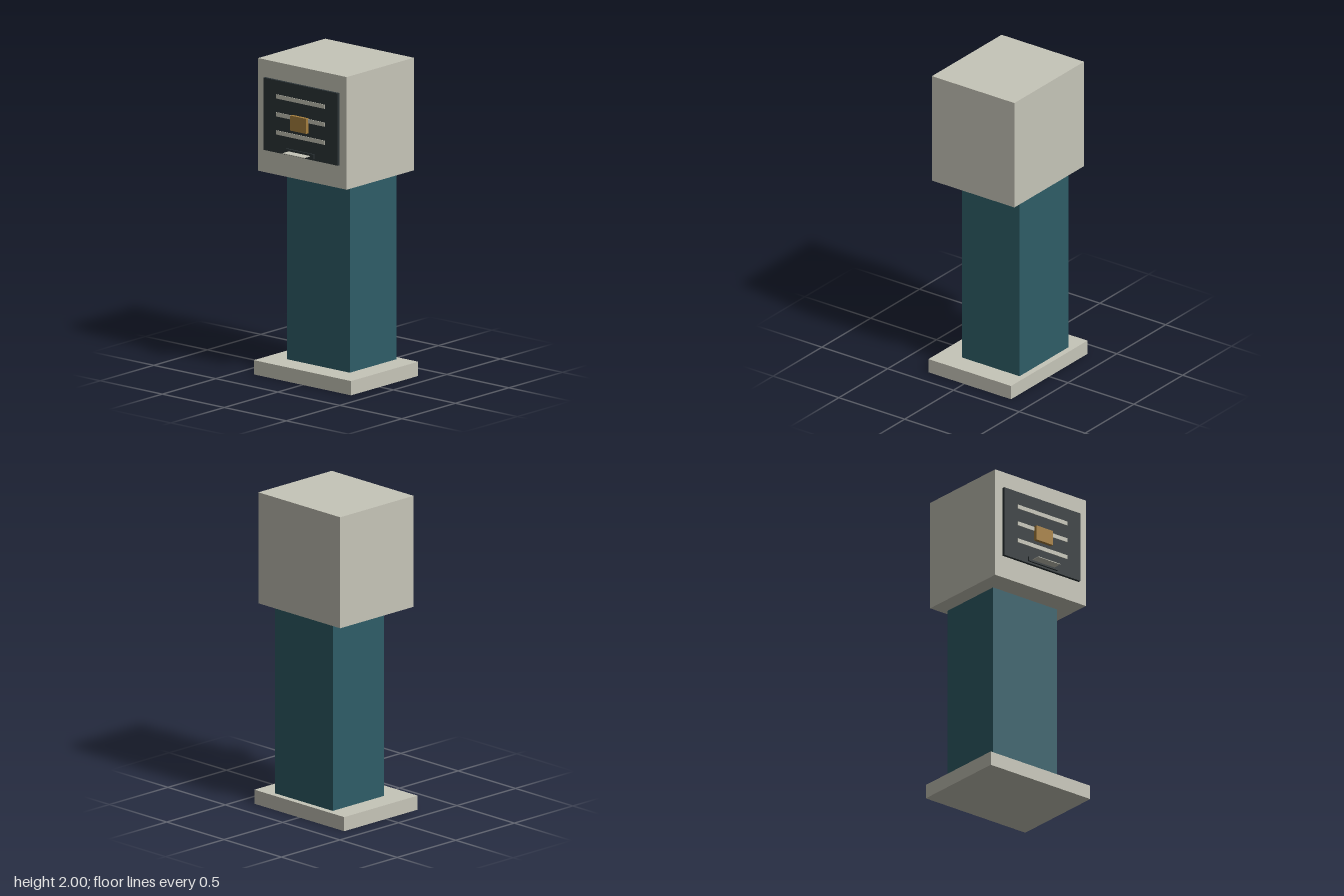
import * as THREE from 'three';

const material = (name, color) => {
  const m = new THREE.MeshStandardMaterial({ color });
  m.name = name;
  return m;
};

// Box given by its extents on each axis
function block(name, mat, [x0, x1], [y0, y1], [z0, z1]) {
  const mesh = new THREE.Mesh(new THREE.BoxGeometry(x1 - x0, y1 - y0, z1 - z0), mat);
  mesh.position.set((x0 + x1) / 2, (y0 + y1) / 2, (z0 + z1) / 2);
  mesh.name = name;
  return mesh;
}

const across = (half) => [-half, half];

export function createModel() {
  const cream = material('cream', 0xc6c5b8);
  const teal = material('teal', 0x2e5d67);
  const charcoal = material('charcoal', 0x2c3437);
  const ochre = material('ochre', 0xa67f3e);

  const kiosk = new THREE.Group();
  kiosk.name = 'ticketKiosk';

  // Foot, column and cabinet, offset toward the back
  kiosk.add(
    block('base', cream, across(0.392), [0, 0.09], [-0.357, 0.27]),
    block('column', teal, across(0.252), [0.09, 1.29], [-0.318, 0.12]),
    block('cabinet', cream, across(0.357), [1.29, 2], [-0.357, 0.27])
  );

  // Dark control panel on the front
  const panel = new THREE.Group();
  panel.name = 'controlPanel';
  panel.add(block('panelPlate', charcoal, across(0.3), [1.435, 1.89], [0.27, 0.288]));

  // Three raised light strips
  for (const y of [1.79, 1.677, 1.563]) {
    panel.add(block('strip', cream, across(0.196), [y - 0.013, y + 0.013], [0.287, 0.292]));
  }

  // Button over the middle strip, slot and protruding ticket below
  panel.add(
    block('button', ochre, across(0.064), [1.6, 1.695], [0.288, 0.31]),
    block('slot', charcoal, across(0.114), [1.447, 1.476], [0.287, 0.299]),
    block('ticket', cream, across(0.086), [1.459, 1.463], [0.288, 0.356])
  );
  kiosk.add(panel);

  return kiosk;
}
